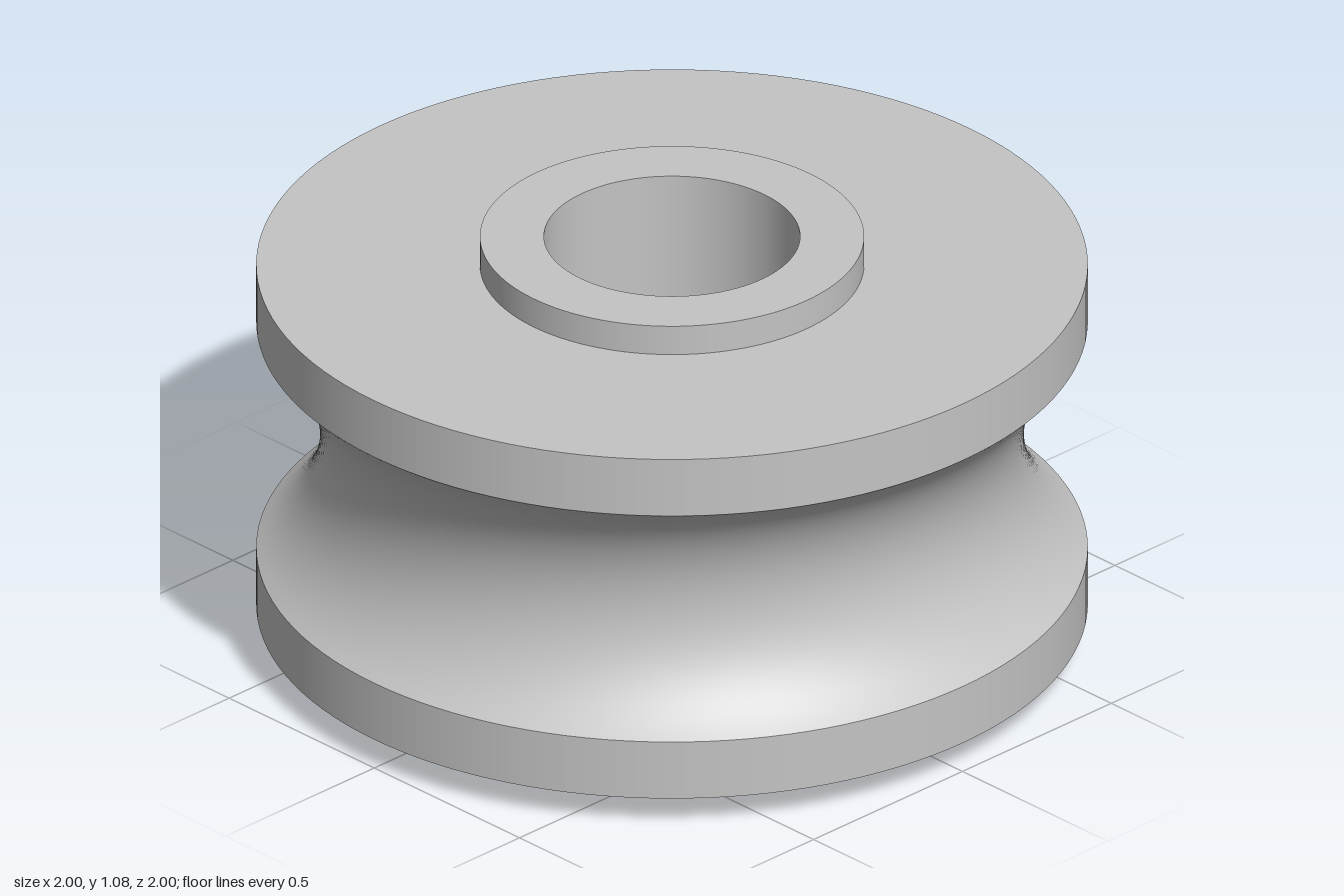
import * as THREE from 'three';

const SEGMENTS = 128;
const BORE = 0.308, HUB = 0.462, RIM = 1;
const HEIGHT = 1.077, MID = HEIGHT / 2;
const FLANGE_HALF = 0.4615, GROOVE_HALF = 0.3077, GROOVE_R = 0.3846, GROOVE_X = 1.2308;

export function createModel() {
  const group = new THREE.Group();
  group.name = 'grooveRoller';
  const steel = new THREE.MeshStandardMaterial({ color: 0xc4c4c4 });
  steel.name = 'greySteel';

  // Each span is turned on its own, so edges between spans stay sharp
  const turn = (name, points) => {
    const profile = points.map(([r, y]) => new THREE.Vector2(r, y));
    const mesh = new THREE.Mesh(new THREE.LatheGeometry(profile, SEGMENTS), steel);
    mesh.name = name;
    group.add(mesh);
  };

  // Hub ends, flange faces and rims, mirrored about the middle
  for (const [side, s] of [['lower', -1], ['upper', 1]]) {
    const span = (name, a, b) => {
      const pts = [[a[0], MID + s * a[1]], [b[0], MID + s * b[1]]];
      turn(side + name, s > 0 ? pts : pts.reverse());
    };
    span('Rim', [RIM, GROOVE_HALF], [RIM, FLANGE_HALF]);
    span('FlangeFace', [RIM, FLANGE_HALF], [HUB, FLANGE_HALF]);
    span('HubWall', [HUB, FLANGE_HALF], [HUB, MID]);
    span('HubFace', [HUB, MID], [BORE, MID]);
  }

  // Circular groove running round the middle
  const sweep = Math.asin(GROOVE_HALF / GROOVE_R);
  const arc = [];
  for (let i = 0; i <= 32; i++) {
    const a = sweep * (i / 16 - 1);
    const r = i % 32 === 0 ? RIM : GROOVE_X - GROOVE_R * Math.cos(a);
    arc.push([r, MID + GROOVE_R * Math.sin(a)]);
  }
  turn('groove', arc);

  // Through bore, facing the axis
  turn('bore', [[BORE, HEIGHT], [BORE, 0]]);

  return group;
}
